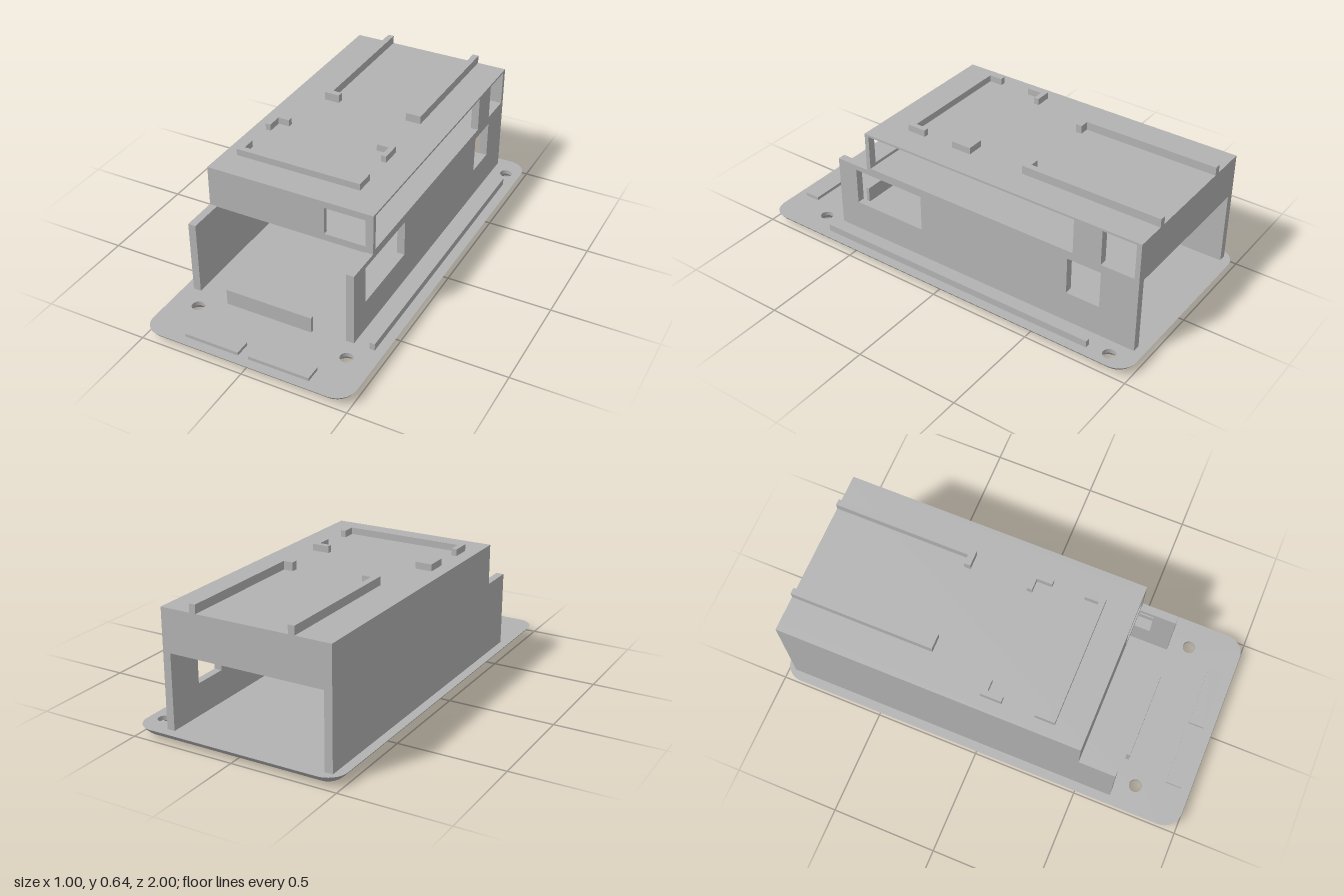
import * as THREE from 'three';

const gray = new THREE.MeshStandardMaterial({ color: 0xb2b2b2, side: THREE.DoubleSide });
gray.name = 'plain gray';

const TOP = 0.05, EDGE = 0.09, FLAT = 0.02, R = 0.106;
const HOLES = [[-0.37, 0.755], [0.37, 0.755], [0.43, -0.88]];
const HOLE = 0.03, SINK = 0.055;

// Height of the rounded underside, l units out from the core rectangle
const rise = l => (l <= FLAT + 1e-6 ? 0 : R - Math.sqrt(R * R - l * l));
const under = (x, z) => rise(Math.min(EDGE,
  Math.hypot(Math.max(Math.abs(x) - 0.41, 0), Math.max(Math.abs(z) - 0.91, 0))));

function add(parent, name, geometry) {
  const mesh = new THREE.Mesh(geometry, gray);
  mesh.name = name;
  parent.add(mesh);
  return mesh;
}

// Box given by its limits on each axis
function box(parent, name, x0, x1, y0, y1, z0, z1) {
  const g = new THREE.BoxGeometry(x1 - x0, y1 - y0, z1 - z0);
  g.translate((x0 + x1) / 2, (y0 + y1) / 2, (z0 + z1) / 2);
  return add(parent, name, g);
}

// Surface through a grid of points: rows x cols, f(i, j) returns [x, y, z]
function sheet(rows, cols, f) {
  const pos = [], idx = [];
  for (let i = 0; i <= rows; i++) for (let j = 0; j <= cols; j++) pos.push(...f(i, j));
  for (let i = 0; i < rows; i++) for (let j = 0; j < cols; j++) {
    const a = i * (cols + 1) + j, b = a + cols + 1;
    idx.push(a, a + 1, b, b, a + 1, b + 1);
  }
  const g = new THREE.BufferGeometry();
  g.setAttribute('position', new THREE.Float32BufferAttribute(pos, 3));
  g.setIndex(idx);
  g.computeVertexNormals();
  return g;
}

// Flat horizontal face with round holes, facing up (s = 1) or down (s = -1)
function face(points, holes, radius, y, s) {
  const shape = new THREE.Shape(points.map(([x, z]) => new THREE.Vector2(x, -s * z)));
  for (const [x, z] of holes) {
    shape.holes.push(new THREE.Path().absarc(x, -s * z, radius, 0, Math.PI * 2, true));
  }
  return new THREE.ShapeGeometry(shape, 32).rotateX(-s * Math.PI / 2).translate(0, y, 0);
}

function rectPath(path, a, b, c, d) {
  path.moveTo(a, c).lineTo(b, c).lineTo(b, d).lineTo(a, d).closePath();
  return path;
}

function basePlate() {
  const plate = new THREE.Group();
  plate.name = 'basePlate';

  // Core points and outward directions round the rim, leaving the drilled corner
  const rim = [[0.41, -0.79, 0]];
  [[0.41, 0.91], [-0.41, 0.91], [-0.41, -0.91]].forEach(([x, z], q) => {
    for (let k = 0; k <= 12; k++) rim.push([x, z, (q + k / 12) * Math.PI / 2]);
  });
  rim.push([0.32, -0.91, Math.PI * 1.5]);
  const at = (l, [x, z, a]) => [x + l * Math.cos(a), z + l * Math.sin(a)];

  add(plate, 'roundedEdge', sheet(10, rim.length - 1, (i, j) => {
    const l = FLAT + (EDGE - FLAT) * i / 10, [x, z] = at(l, rim[j]);
    return [x, rise(l), z];
  }));
  add(plate, 'underside',
    face([...rim.map(p => at(FLAT, p)), [0.32, -0.79]], HOLES.slice(0, 2), SINK, 0, -1));

  // Corner whose countersink cuts into the rounded edge
  const corner = [[0.5, -0.79], [0.32, -0.79], [0.32, -1], [0.41, -1]];
  for (let k = 1; k <= 12; k++) corner.push(at(EDGE, [0.41, -0.91, Math.PI * (1.5 + k / 24)]));
  corner.push([0.5, -0.79]);
  const loop = [];
  corner.slice(1).forEach(([x, z], i) => {
    const [px, pz] = corner[i], n = Math.ceil(Math.hypot(x - px, z - pz) / 0.012);
    for (let k = 0; k < n; k++) loop.push([px + (x - px) * k / n, pz + (z - pz) * k / n]);
  });
  loop.push(loop[0]);
  const [cx, cz] = HOLES[2];
  add(plate, 'undersideCorner', sheet(14, loop.length - 1, (i, j) => {
    const dx = loop[j][0] - cx, dz = loop[j][1] - cz, d = Math.hypot(dx, dz);
    const t = (SINK + (d - SINK) * i / 14) / d, x = cx + dx * t, z = cz + dz * t;
    return [x, under(x, z), z];
  }));

  // Top face
  const outline = rim.slice(1, -1).map(p => at(EDGE, p));
  for (let k = 0; k <= 12; k++) outline.push(at(EDGE, [0.41, -0.91, Math.PI * (1.5 + k / 24)]));
  add(plate, 'topFace', face(outline, HOLES, HOLE, TOP, 1));

  // Countersunk screw holes
  for (const [x, z] of HOLES) {
    const ring = (r, y, j) => {
      const a = -j / 32 * Math.PI * 2, px = x + r * Math.cos(a), pz = z + r * Math.sin(a);
      return [px, y ?? under(px, pz), pz];
    };
    add(plate, 'countersink', sheet(1, 32, (i, j) => (i ? ring(HOLE, 0.03, j) : ring(SINK, null, j))));
    add(plate, 'screwHole', sheet(1, 32, (i, j) => ring(HOLE, i ? TOP : 0.03, j)));
  }
  return plate;
}

// Stepped side wall in the z-y plane; windows are [zFront, zBack, yLow, yHigh]
function sideWall(parent, name, x0, x1, windows) {
  const pts = [[0.66, TOP], [-0.955, TOP], [-0.955, 0.6], [0.485, 0.6], [0.485, 0.405], [0.66, 0.405]];
  const shape = new THREE.Shape(pts.map(([z, y]) => new THREE.Vector2(-z, y)));
  for (const [zf, zb, lo, hi] of windows) {
    shape.holes.push(rectPath(new THREE.Path(), -zf, -zb, lo, hi));
  }
  const g = new THREE.ExtrudeGeometry(shape, { depth: x1 - x0, bevelEnabled: false });
  add(parent, name, g.rotateY(Math.PI / 2).translate(x0, 0, 0));
}

function housing() {
  const h = new THREE.Group();
  h.name = 'housing';
  sideWall(h, 'plainWall', -0.457, -0.42, []);
  sideWall(h, 'windowedWall', 0.318, 0.355, [
    [0.465, -0.635, 0.42, 0.59], [-0.772, -0.932, 0.42, 0.59],
    [0.555, 0.175, 0.2, 0.38], [-0.61, -0.775, 0.2, 0.38],
  ]);

  // Upper compartment between the walls
  box(h, 'roof', -0.42, 0.318, 0.59, 0.6, -0.955, 0.485);
  box(h, 'shelf', -0.42, 0.318, 0.402, 0.42, -0.955, 0.485);
  box(h, 'backPanel', -0.42, 0.318, 0.42, 0.59, -0.955, -0.932);
  const front = rectPath(new THREE.Shape(), -0.457, 0.355, 0.402, 0.6);
  front.holes.push(rectPath(new THREE.Path(), 0.122, 0.326, 0.435, 0.568));
  const g = new THREE.ExtrudeGeometry(front, { depth: 0.022, bevelEnabled: false });
  add(h, 'frontPanel', g.translate(0, 0, 0.465));
  return h;
}

function roofRails() {
  const r = new THREE.Group();
  r.name = 'roofRails';
  const long = 0.64, low = 0.632;
  // Long rear rails with inward feet
  box(r, 'rearRail', -0.29, -0.26, 0.6, long, -0.955, -0.275);
  box(r, 'rearRailFoot', -0.26, -0.215, 0.6, long, -0.305, -0.275);
  box(r, 'rearRail', 0.18, 0.21, 0.6, long, -0.955, -0.275);
  box(r, 'rearRailFoot', 0.135, 0.18, 0.6, long, -0.305, -0.275);
  // Front bracket and the corner stops facing it
  box(r, 'frontBracket', -0.395, 0.218, 0.6, low, 0.315, 0.343);
  for (const x of [-0.395, 0.193]) {
    box(r, 'bracketArm', x, x + 0.025, 0.6, low, 0.25, 0.315);
    box(r, 'cornerStopArm', x, x + 0.025, 0.6, low, 0.022, 0.095);
  }
  box(r, 'cornerStop', -0.395, -0.315, 0.6, low, -0.003, 0.022);
  box(r, 'cornerStop', 0.135, 0.218, 0.6, low, -0.003, 0.022);
  return r;
}

export function createModel() {
  const model = new THREE.Group();
  model.name = 'enclosure';
  model.add(basePlate(), housing(), roofRails());

  // Small features on the base plate
  box(model, 'sideRail', 0.43, 0.454, TOP, 0.084, -0.78, 0.66);
  box(model, 'frontStop', -0.265, 0.16, TOP, 0.127, 0.665, 0.682);
  box(model, 'frontPad', -0.302, -0.04, TOP, 0.066, 0.88, 0.955);
  box(model, 'frontPad', 0.01, 0.3, TOP, 0.066, 0.88, 0.955);
  return model;
}
